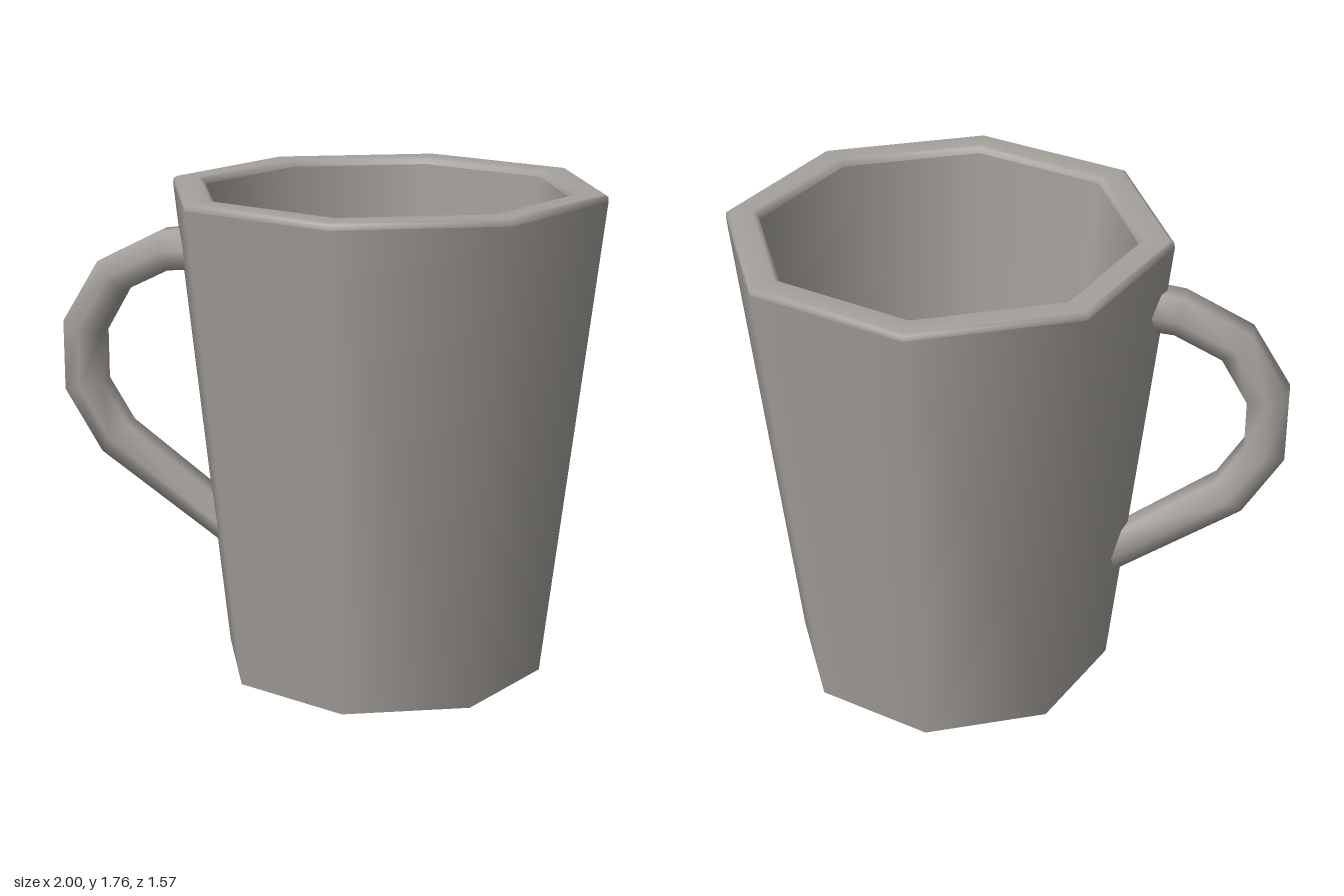
import * as THREE from 'three';

const SIDES = 8;
const CENTRE_X = 0.21;

export function createModel() {
  const group = new THREE.Group();
  group.name = 'mug';
  const ceramic = new THREE.MeshStandardMaterial({ color: 0xa5a19c });
  ceramic.name = 'warm grey ceramic';

  const add = (name, geometry, x = 0, y = 0) => {
    const mesh = new THREE.Mesh(geometry, ceramic);
    mesh.name = name;
    mesh.position.set(x, y, 0);
    group.add(mesh);
    return mesh;
  };
  const ring = (name, profile) => add(
    name,
    new THREE.LatheGeometry(profile.map(([r, y]) => new THREE.Vector2(r, y)), SIDES),
    CENTRE_X,
  );

  // Eight-sided tapered body, with a softly rounded rim
  ring('outerWall', [[0.59, 0], [0.786, 1.735]]);
  ring('rim', [[0.786, 1.735], [0.784, 1.752], [0.77, 1.76], [0.69, 1.76], [0.673, 1.752], [0.665, 1.735]]);
  ring('innerWall', [[0.665, 1.735], [0.55, 0.11]]);

  // Floor inside and base underneath
  add('innerFloor', new THREE.CircleGeometry(0.55, SIDES), CENTRE_X, 0.11).rotation.x = -Math.PI / 2;
  add('base', new THREE.CircleGeometry(0.59, SIDES), CENTRE_X, 0).rotation.x = Math.PI / 2;

  add('handle', handleGeometry());
  return group;
}

// Six-sided handle: each station gives its outer and inner edge in the xy plane
function handleGeometry() {
  const stations = [
    [-0.49, 1.58, -0.48, 1.43],
    [-0.62, 1.562, -0.59, 1.42],
    [-0.86, 1.44, -0.76, 1.335],
    [-1.0, 1.21, -0.855, 1.17],
    [-1.0, 0.95, -0.855, 0.985],
    [-0.86, 0.72, -0.76, 0.83],
    [-0.39, 0.4, -0.405, 0.57],
  ];
  // Position across (0 outer, 1 inner) and depth of the six corners
  const section = [[0, 0.0425], [0.5, 0.087], [1, 0.0425], [1, -0.0425], [0.5, -0.087], [0, -0.0425]];
  const n = section.length;
  const positions = [];
  const index = [];
  stations.forEach(([ox, oy, ix, iy], s) => {
    for (const [t, z] of section) {
      positions.push(ox + (ix - ox) * t, oy + (iy - oy) * t, z);
    }
    if (s === 0) return;
    for (let k = 0; k < n; k++) {
      const a = (s - 1) * n + k;
      const b = (s - 1) * n + (k + 1) % n;
      index.push(a, a + n, b, b, a + n, b + n);
    }
  });
  const geometry = new THREE.BufferGeometry();
  geometry.setAttribute('position', new THREE.Float32BufferAttribute(positions, 3));
  geometry.setIndex(index);
  geometry.computeVertexNormals();
  return geometry;
}
